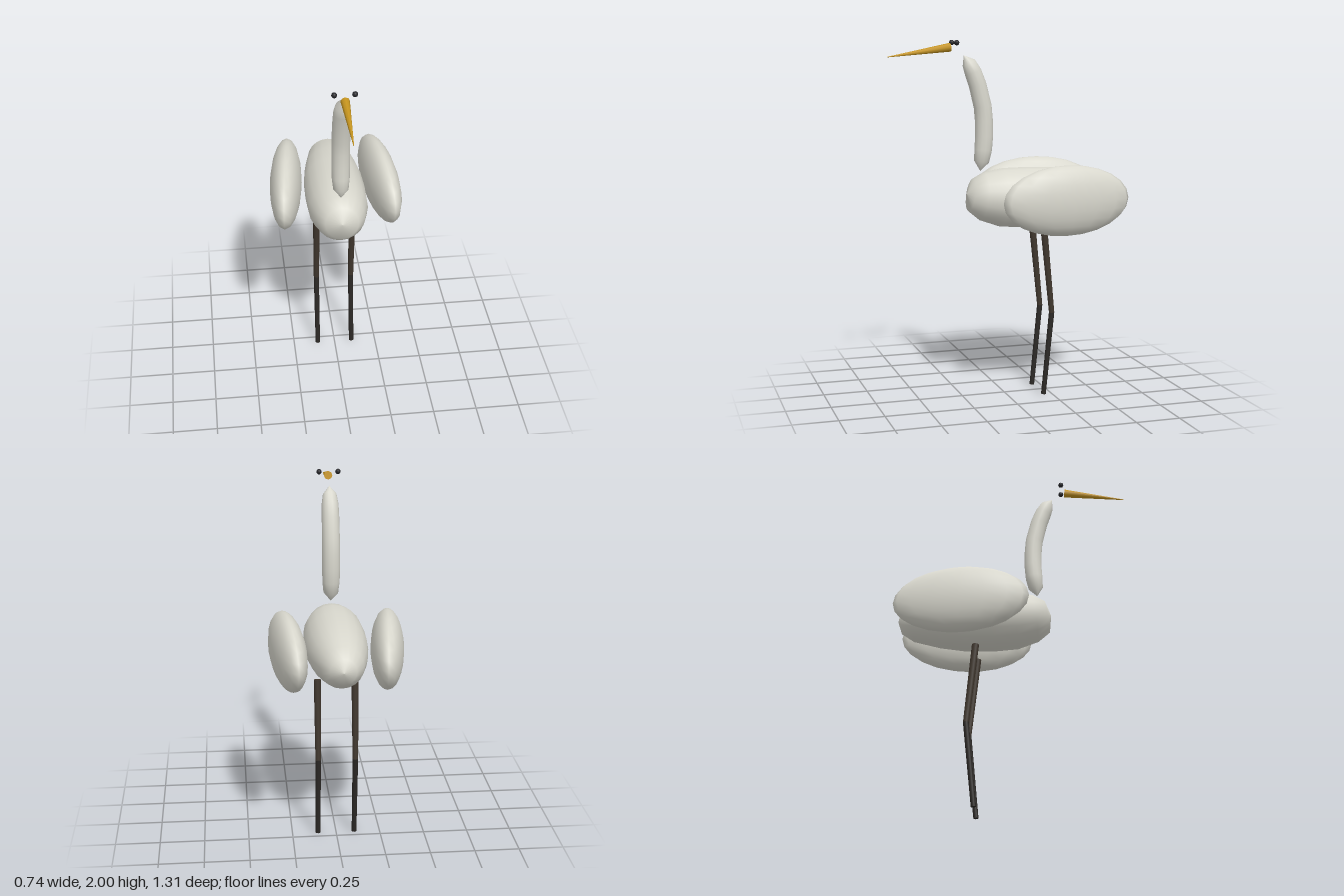
import * as THREE from 'three';

const mat = (name, color, side = THREE.FrontSide) => {
  const m = new THREE.MeshStandardMaterial({ color, side });
  m.name = name;
  return m;
};

// Smooth round loft along a path in the x = 0 plane; stations are [y, z, radius]
function loft(stations, sides) {
  const pos = [], idx = [], n = stations.length;
  stations.forEach(([y, z, r], i) => {
    const a = stations[Math.max(i - 1, 0)], b = stations[Math.min(i + 1, n - 1)];
    const len = Math.hypot(b[0] - a[0], b[1] - a[1]);
    const ty = (b[0] - a[0]) / len, tz = (b[1] - a[1]) / len;
    for (let j = 0; j < sides; j++) {
      const t = (j / sides) * Math.PI * 2;
      const c = Math.cos(t) * r, s = Math.sin(t) * r;
      pos.push(c, y + tz * s, z - ty * s);
    }
  });
  for (let i = 0; i < n - 1; i++) {
    for (let j = 0; j < sides; j++) {
      const k = (j + 1) % sides;
      const a = i * sides + j, b = i * sides + k, c = a + sides, d = b + sides;
      if (stations[i][2] > 0) idx.push(a, b, c);
      if (stations[i + 1][2] > 0) idx.push(b, d, c);
    }
  }
  const g = new THREE.BufferGeometry();
  g.setAttribute('position', new THREE.Float32BufferAttribute(pos, 3));
  g.setIndex(idx);
  g.computeVertexNormals();
  return g;
}

export function createModel() {
  const model = new THREE.Group();
  model.name = 'wadingBird';
  const plumage = mat('plumage', 0xd9d8ce);
  const gold = mat('beakGold', 0xc6951f);
  const upperLegBrown = mat('upperLegBrown', 0x40372e);
  const lowerLegDark = mat('lowerLegDark', 0x2b2825);
  const eyeDark = mat('eyeDark', 0x26262a);

  const add = (name, geometry, material) => {
    const m = new THREE.Mesh(geometry, material);
    m.name = name;
    model.add(m);
    return m;
  };

  // Tapered rod between two points
  const rod = (name, from, to, r0, r1, sides, material) => {
    const a = new THREE.Vector3(...from), b = new THREE.Vector3(...to);
    const dir = b.clone().sub(a);
    const m = add(name, new THREE.CylinderGeometry(r1, r0, dir.length(), sides), material);
    m.position.copy(a).add(b).multiplyScalar(0.5);
    m.quaternion.setFromUnitVectors(new THREE.Vector3(0, 1, 0), dir.normalize());
    return m;
  };

  // Blunt-ended body, tail to breast
  add('body', loft([
    [1.13, -0.652, 0], [1.13, -0.63, 0.07], [1.13, -0.56, 0.115], [1.127, -0.41, 0.15],
    [1.125, -0.27, 0.168], [1.125, -0.12, 0.172], [1.13, 0.02, 0.165],
    [1.14, 0.13, 0.135], [1.15, 0.195, 0.092], [1.155, 0.218, 0],
  ], 20), plumage);

  // Curved neck, pointed at the bottom
  add('neck', loft([
    [1.282, 0.14, 0], [1.335, 0.132, 0.042], [1.4, 0.123, 0.049], [1.475, 0.117, 0.05],
    [1.56, 0.118, 0.05], [1.64, 0.125, 0.05], [1.76, 0.154, 0.049],
    [1.83, 0.18, 0.047], [1.88, 0.204, 0.038], [1.921, 0.232, 0],
  ], 14), plumage);

  // Beak
  rod('beak', [0, 1.965, 0.307], [0, 1.914, 0.655], 0.024, 0.002, 8, gold);

  for (const s of [1, -1]) {
    const side = s > 0 ? 'left' : 'right';

    // Folded wing, splayed outward at the front
    const wing = add(side + 'Wing', new THREE.SphereGeometry(1, 16, 12), plumage);
    wing.scale.set(0.091, 0.195, 0.38);
    wing.position.set(s * 0.27, 1.133, -0.278);
    wing.rotation.y = s * 0.106;

    // Eye
    const eye = add(side + 'Eye', new THREE.SphereGeometry(0.015, 12, 8), eyeDark);
    eye.position.set(s * 0.053, 1.99, 0.286);

    // Leg bent backward at the knee
    const x = s * 0.104;
    rod(side + 'UpperLeg', [x, 0.935, -0.203], [x, 0.475, -0.249], 0.02, 0.016, 10, upperLegBrown);
    rod(side + 'LowerLeg', [x, 0.475, -0.249], [x, 0.002, -0.202], 0.016, 0.014, 10, lowerLegDark);
  }

  return model;
}
